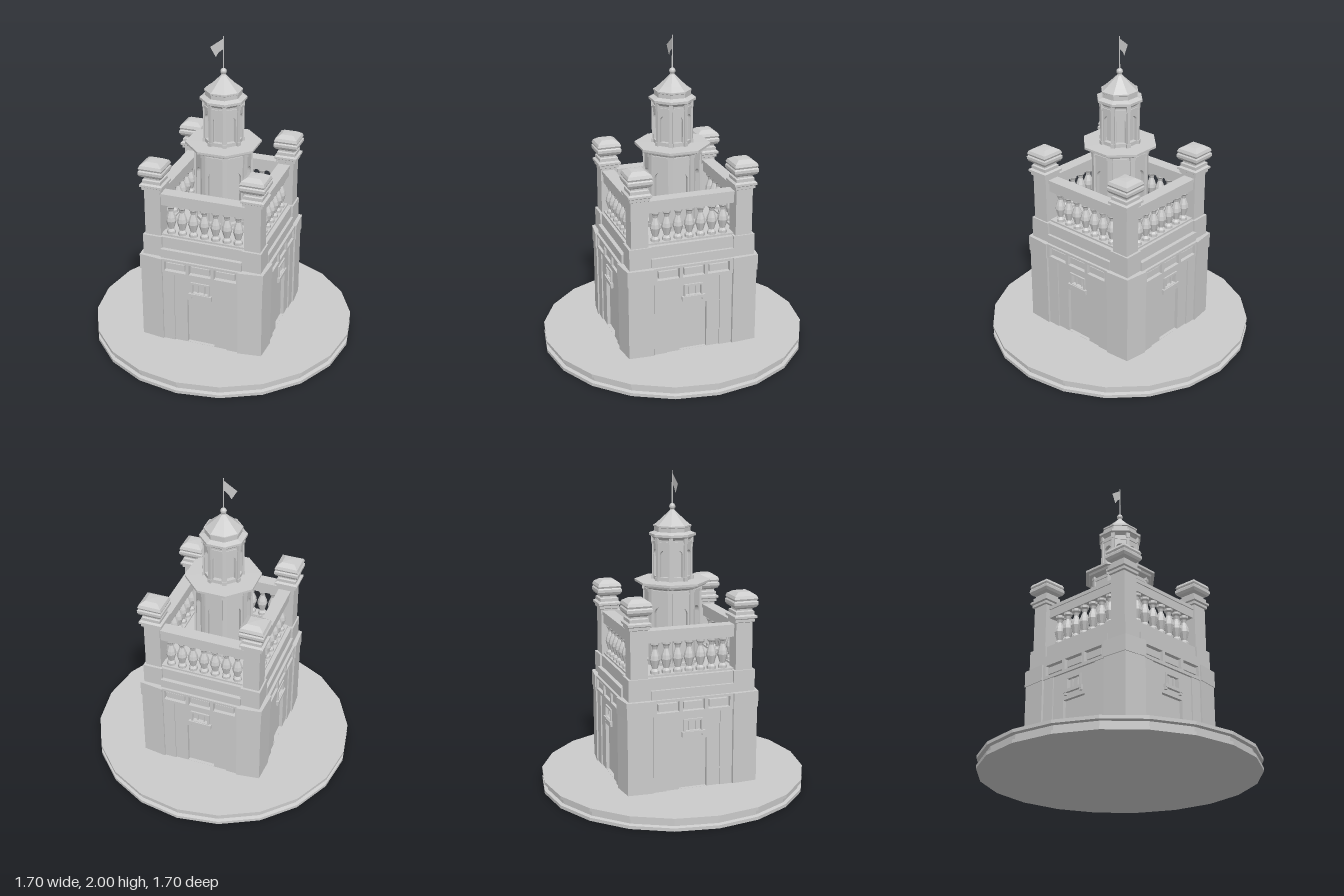
import * as THREE from 'three';

const mat = new THREE.MeshStandardMaterial({ color: 0xcccccc, flatShading: true });
const thin = new THREE.MeshStandardMaterial({ color: 0xcccccc, side: THREE.DoubleSide });

function add(parent, name, geo, x = 0, y = 0, z = 0, material = mat) {
  const m = new THREE.Mesh(geo, material);
  m.name = name;
  m.position.set(x, y, z);
  parent.add(m);
  return m;
}

// Box spanning y0..y1, with its front face at z = front
function block(parent, name, w, y0, y1, front, depth, x = 0) {
  return add(parent, name, new THREE.BoxGeometry(w, y1 - y0, depth), x, (y0 + y1) / 2, front - depth / 2);
}

// Faceted turned part; r is the distance to the flat faces
function turned(parent, name, profile, sides, x = 0, z = 0) {
  const k = 1 / Math.cos(Math.PI / sides);
  const geo = new THREE.LatheGeometry(profile.map(([r, y]) => new THREE.Vector2(r * k, y)), sides);
  geo.rotateY(Math.PI / sides);
  return add(parent, name, geo, x, 0, z);
}

function rectPath(path, x0, y0, x1, y1) {
  path.moveTo(x0, y0);
  path.lineTo(x1, y0);
  path.lineTo(x1, y1);
  path.lineTo(x0, y1);
  path.closePath();
  return path;
}

// Plate with rectangular openings, its front face at z = front
function plate(parent, name, rect, holes, front, depth) {
  const shape = rectPath(new THREE.Shape(), ...rect);
  holes.forEach(h => shape.holes.push(rectPath(new THREE.Path(), ...h)));
  const geo = new THREE.ExtrudeGeometry(shape, { depth, bevelEnabled: false });
  return add(parent, name, geo, 0, 0, front - depth);
}

// One side of the tower, facing +z at distance d
function buildSide(d) {
  const g = new THREE.Group();
  g.name = 'towerSide';
  plate(g, 'doorWall', [-0.26, 0.08, 0.26, 0.57], [[-0.09, 0.081, 0.09, 0.395], [-0.055, 0.45, 0.055, 0.525]], d - 0.018, 0.035);
  for (const s of [-1, 1]) block(g, 'wallStrip', 0.08, 0.08, 0.57, d - 0.01, 0.02, s * 0.215);
  // window frame, bars and bracketed sill
  plate(g, 'windowFrame', [-0.062, 0.445, 0.062, 0.53], [[-0.05, 0.455, 0.05, 0.518]], d - 0.008, 0.02);
  for (const x of [-0.022, 0.022]) block(g, 'windowBar', 0.008, 0.455, 0.518, d - 0.022, 0.01, x);
  block(g, 'windowSill', 0.15, 0.432, 0.452, d, 0.025);
  for (const s of [-1, 1]) block(g, 'sillBracket', 0.018, 0.418, 0.434, d - 0.004, 0.02, s * 0.065);
  // row of three sunken panels
  const panels = [-0.165, 0, 0.165].map(x => [x - 0.072, 0.585, x + 0.072, 0.652]);
  plate(g, 'panelBand', [-0.26, 0.565, 0.26, 0.667], panels, d - 0.004, 0.03);
  for (const x of [-0.165, 0, 0.165]) block(g, 'sunkenPanel', 0.12, 0.597, 0.64, d - 0.014, 0.025, x);
  block(g, 'lowerLedge', 0.53, 0.66, 0.725, d - 0.02, 0.1);
  // balustrade
  const c = d - 0.096;
  block(g, 'handrail', 0.56, 1.01, 1.065, c + 0.033, 0.066);
  block(g, 'handrailCap', 0.56, 1.065, 1.088, c + 0.04, 0.08);
  block(g, 'footRail', 0.56, 0.79, 0.812, c + 0.033, 0.066);
  const profile = [[0.026, 0.81], [0.026, 0.83], [0.016, 0.845], [0.031, 0.9], [0.027, 0.925],
    [0.013, 0.965], [0.018, 0.985], [0.026, 0.995], [0.026, 1.012]];
  for (let i = 0; i < 7; i++) turned(g, 'baluster', profile, 8, (i - 3) * 0.073, c);
  return g;
}

// Eight-sided storey with arched faces and corner columns
function buildOctagon(name, a, y0, y1, spring, base) {
  const g = new THREE.Group();
  g.name = name;
  const half = a * Math.tan(Math.PI / 8), r = half * 0.62;
  turned(g, 'core', [[0, y0], [a - 0.025, y0], [a - 0.025, y1], [0, y1]], 8);
  for (let i = 0; i < 8; i++) {
    const face = new THREE.Group();
    face.name = 'archedFace';
    face.rotation.y = i * Math.PI / 4;
    const shape = rectPath(new THREE.Shape(), -half, y0, half, y1);
    const hole = new THREE.Path();
    hole.moveTo(-r, base);
    hole.lineTo(r, base);
    hole.lineTo(r, spring);
    hole.absarc(0, spring, r, 0, Math.PI, false);
    hole.closePath();
    shape.holes.push(hole);
    const geo = new THREE.ExtrudeGeometry(shape, { depth: 0.03, bevelEnabled: false, curveSegments: 6 });
    add(face, 'archWall', geo, 0, 0, a - 0.03);
    block(face, 'faceHeader', half * 1.7, y1 - 0.045, y1 - 0.025, a + 0.006, 0.02);
    g.add(face);
    const corner = new THREE.Group();
    corner.name = 'cornerColumn';
    corner.rotation.y = (i + 0.5) * Math.PI / 4;
    const out = a / Math.cos(Math.PI / 8);
    block(corner, 'shaft', half * 0.42, y0, y1, out + 0.006, 0.03);
    block(corner, 'foot', half * 0.55, y0, y0 + 0.025, out + 0.01, 0.03);
    block(corner, 'capital', half * 0.55, y1 - 0.035, y1, out + 0.01, 0.03);
    g.add(corner);
  }
  return g;
}

export function createModel() {
  const model = new THREE.Group();
  model.name = 'clockTowerBuilding';

  // grooved round plinth
  const plinth = new THREE.LatheGeometry([[0, 0], [0.85, 0], [0.85, 0.02], [0.828, 0.025], [0.828, 0.055],
    [0.85, 0.06], [0.85, 0.08], [0, 0.08]].map(p => new THREE.Vector2(...p)), 20);
  add(model, 'plinth', plinth);

  // main body and the terrace block above it
  add(model, 'bodyCore', new THREE.BoxGeometry(0.74, 0.59, 0.8), 0, 0.37, 0);
  add(model, 'terraceBlock', new THREE.BoxGeometry(0.745, 0.14, 0.79), 0, 0.73, 0);

  for (let i = 0; i < 4; i++) {
    const side = buildSide(i % 2 ? 0.41 : 0.44);
    side.rotation.y = i * Math.PI / 2;
    model.add(side);
  }

  // corner piers, posts and their urn-like caps
  for (const sx of [-1, 1]) for (const sz of [-1, 1]) {
    const corner = new THREE.Group();
    corner.name = 'corner';
    const pier = (name, o, y0, y1) => {
      const pts = [[0.25, 0.25], [0.41 + o, 0.26], [0.4 + o, 0.42 + o], [0.25, 0.44 + o]];
      const shape = new THREE.Shape(pts.map(([x, z]) => new THREE.Vector2(sx * x, -sz * z)));
      const geo = new THREE.ExtrudeGeometry(shape, { depth: y1 - y0, bevelEnabled: false });
      geo.rotateX(-Math.PI / 2);
      add(corner, name, geo, 0, y0, 0);
    };
    pier('pier', 0, 0.08, 0.57);
    pier('pierHead', 0.005, 0.565, 0.667);
    add(corner, 'pedestal', new THREE.BoxGeometry(0.125, 0.14, 0.14), sx * 0.323, 0.732, sz * 0.337);
    add(corner, 'post', new THREE.BoxGeometry(0.104, 0.32, 0.108), sx * 0.323, 0.95, sz * 0.337);
    turned(corner, 'postCap', [[0.054, 1.1], [0.064, 1.105], [0.064, 1.122], [0.074, 1.128], [0.074, 1.142],
      [0.06, 1.15], [0.06, 1.17], [0.05, 1.175], [0.05, 1.185], [0.07, 1.197], [0.079, 1.213], [0.079, 1.23],
      [0.072, 1.238], [0.077, 1.25], [0.07, 1.268], [0.04, 1.288], [0, 1.291]], 4, sx * 0.324, sz * 0.337);
    model.add(corner);
  }

  // octagonal drum, gallery slab and lantern
  model.add(buildOctagon('drum', 0.165, 0.8, 1.3, 1.13, 0.82));
  turned(model, 'gallery', [[0.165, 1.28], [0.195, 1.295], [0.2, 1.308], [0.22, 1.311], [0.22, 1.325], [0, 1.328]], 8);
  model.add(buildOctagon('lantern', 0.112, 1.325, 1.595, 1.49, 1.35));
  turned(model, 'lanternCornice', [[0.11, 1.58], [0.125, 1.598], [0.135, 1.602], [0.135, 1.617], [0.115, 1.625],
    [0.105, 1.63], [0.105, 1.655], [0.11, 1.658], [0.11, 1.668], [0, 1.668]], 8);
  turned(model, 'roof', [[0.106, 1.666], [0.075, 1.695], [0.04, 1.73], [0.014, 1.758], [0.012, 1.77], [0, 1.772]], 8);

  // finial, pole and flag
  add(model, 'finialBall', new THREE.SphereGeometry(0.02, 12, 8), 0, 1.78, 0);
  add(model, 'flagPole', new THREE.CylinderGeometry(0.003, 0.004, 0.22, 6), 0, 1.89, 0);
  const flag = new THREE.Shape([[0, 1.985], [-0.083, 1.925], [-0.048, 1.865], [-0.03, 1.895], [0, 1.92]]
    .map(p => new THREE.Vector2(...p)));
  add(model, 'flag', new THREE.ShapeGeometry(flag), 0, 0, 0, thin).rotation.y = 0.1;

  return model;
}
